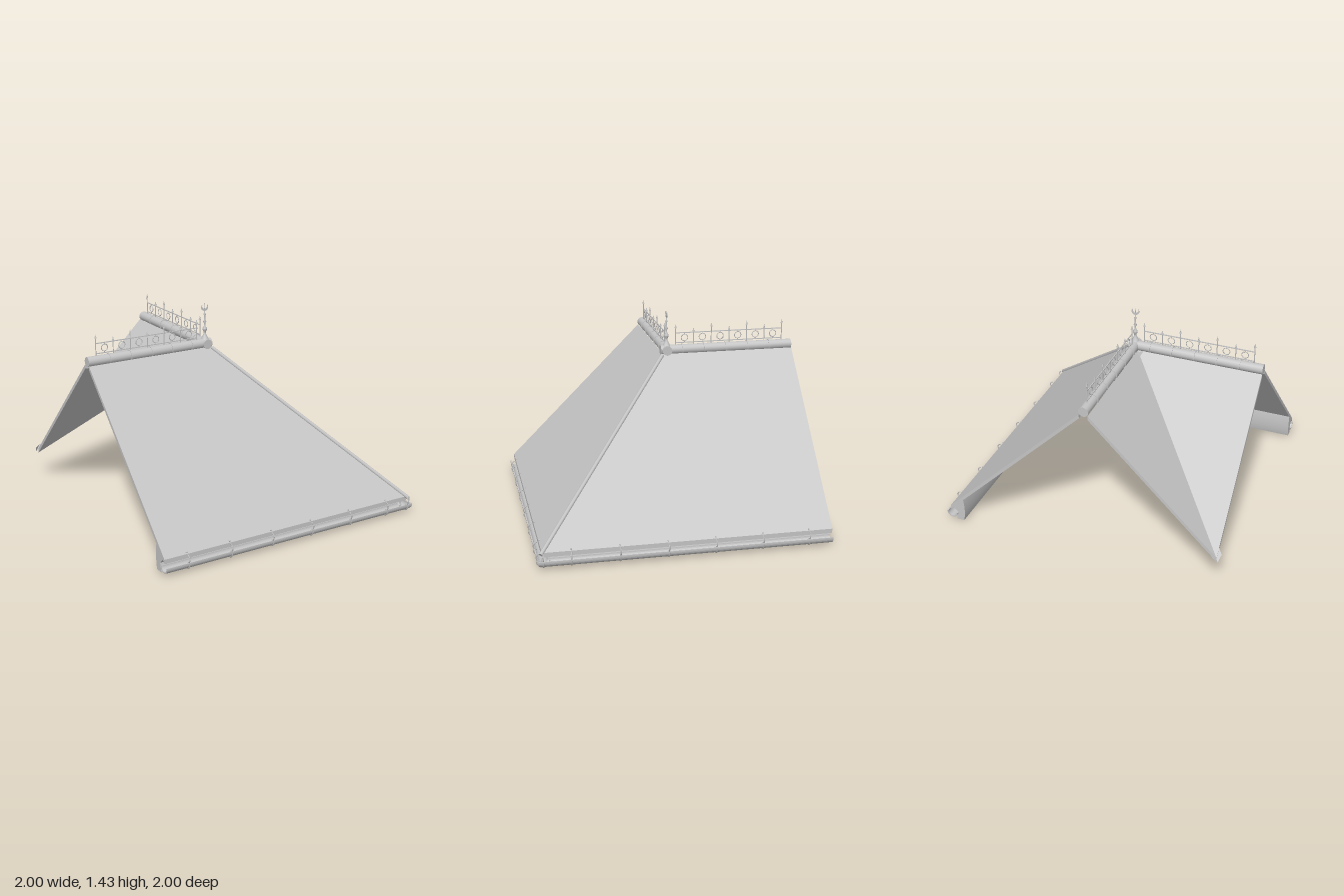
import * as THREE from 'three';

export function createModel() {
  const model = new THREE.Group();
  model.name = 'cornerRoof';
  const grey = new THREE.MeshStandardMaterial({ color: 0xc4c4c4 });
  grey.name = 'grey';

  const BACK = -0.972, RIDGE = -0.065;

  const add = (name, geo) => {
    const mesh = new THREE.Mesh(geo, grey);
    mesh.name = name;
    model.add(mesh);
  };
  // Copy of a geometry mirrored across the hip plane (x and z change places)
  const swapped = (geo) => {
    const g = geo.index ? geo.toNonIndexed() : geo.clone();
    for (const key of ['position', 'normal']) {
      const a = g.attributes[key], b = a.clone();
      for (let i = 0; i < a.count; i++) {
        const j = i % 3 === 0 ? i : i % 3 === 1 ? i + 1 : i - 1;
        a.setXYZ(i, b.getZ(j), b.getY(j), b.getX(j));
      }
    }
    return g;
  };
  // Every wing part is made for the right wing and mirrored to the front wing
  const wing = (name, geo) => {
    add(name + 'Right', geo);
    add(name + 'Front', swapped(geo));
  };
  const box = (w, h, d, x, y, z) => new THREE.BoxGeometry(w, h, d).translate(x, y, z);
  const rod = (a, b, r, sides = 6) => {
    const from = new THREE.Vector3(...a), dir = new THREE.Vector3(...b).sub(from);
    const q = new THREE.Quaternion().setFromUnitVectors(new THREE.Vector3(0, 1, 0), dir.clone().normalize());
    return new THREE.CylinderGeometry(r, r, dir.length(), sides)
      .applyQuaternion(q).translate(...from.addScaledVector(dir, 0.5).toArray());
  };
  // Solid between a polygon and its copy moved by an offset; corners run counter-clockwise from outside
  const slab = (top, offset) => {
    const low = top.map((p) => p.map((v, i) => v + offset[i]));
    const n = top.length, pos = [];
    const tri = (a, b, c) => pos.push(...a, ...b, ...c);
    for (let i = 1; i < n - 1; i++) {
      tri(top[0], top[i], top[i + 1]);
      tri(low[0], low[i + 1], low[i]);
    }
    for (let i = 0; i < n; i++) {
      const j = (i + 1) % n;
      tri(top[i], low[i], low[j]);
      tri(top[i], low[j], top[j]);
    }
    const g = new THREE.BufferGeometry();
    g.setAttribute('position', new THREE.Float32BufferAttribute(pos, 3));
    g.computeVertexNormals();
    return g;
  };
  // Profile run along the eave, mitred at the front corner
  const eaveRun = (shape) => {
    const g = new THREE.ExtrudeGeometry(shape, { depth: 1, bevelEnabled: false, curveSegments: 12 });
    const p = g.attributes.position;
    for (let i = 0; i < p.count; i++) p.setZ(i, p.getZ(i) > 0.5 ? p.getX(i) : BACK);
    g.computeVertexNormals();
    return g;
  };

  // Outer slopes and inner valley slopes
  const thick = [0, -0.03, 0];
  wing('outerSlope', slab([
    [-0.035, 1.11, BACK], [-0.035, 1.11, -0.035], [0.957, 0.118, 0.957], [0.957, 0.118, BACK],
  ], thick));
  wing('valleySlope', slab([
    [-0.095, 1.11, -0.095], [-0.095, 1.11, BACK], [BACK, 0.233, BACK],
  ], thick));

  // Hip trim and valley trough
  add('hipTrim', rod([-0.03, 1.105, -0.03], [0.965, 0.11, 0.965], 0.014, 8));
  add('valleyTrough', slab([
    [-1, 0.253, -0.95], [-0.985, 0.212, -0.985], [-0.95, 0.253, -1],
  ], [0.86, 0.86, 0.86]));

  // Cornice below the roof edge
  const cornice = new THREE.Shape();
  cornice.moveTo(0.86, 0.015);
  cornice.lineTo(0.915, 0.015);
  cornice.lineTo(0.9, 0.075);
  cornice.lineTo(0.935, 0.11);
  cornice.lineTo(0.855, 0.19);
  cornice.quadraticCurveTo(0.84, 0.09, 0.86, 0.015);
  wing('cornice', eaveRun(cornice));

  // Half-round gutter with a thin wall
  const gutter = new THREE.Shape();
  gutter.moveTo(0.908, 0.062);
  gutter.absarc(0.948, 0.062, 0.04, Math.PI, Math.PI * 2, false);
  gutter.lineTo(0.988, 0.068);
  gutter.lineTo(0.98, 0.068);
  gutter.absarc(0.948, 0.062, 0.032, Math.PI * 2, Math.PI, true);
  wing('gutter', eaveRun(gutter));

  // Gutter brackets, hooks and studs
  for (let i = 0; i < 7; i++) {
    const z = i < 6 ? -0.81 + i * 0.316 : 0.95;
    wing('gutterStrap', new THREE.TorusGeometry(0.042, 0.005, 5, 12, Math.PI)
      .rotateZ(Math.PI).translate(0.948, 0.062, z));
    wing('gutterHook', new THREE.TorusGeometry(0.025, 0.004, 5, 12, Math.PI)
      .rotateZ(-Math.PI / 2).translate(0.967, 0.09, z));
    wing('roofNail', new THREE.SphereGeometry(0.006, 6, 4).translate(0.95, 0.127, z));
  }
  for (let i = 0; i < 12; i++) {
    wing('corniceStud', box(0.025, 0.014, 0.025, 0.885, 0.012, -0.89 + i * 0.158));
  }

  // Ridge cap tube with collars
  wing('ridgeCap', rod([RIDGE, 1.133, BACK], [RIDGE, 1.133, -0.022], 0.034, 16));
  for (let i = 0; i < 5; i++) {
    const z = -0.81 + i * 0.158;
    wing('ridgeCollar', rod([RIDGE, 1.133, z - 0.005], [RIDGE, 1.133, z + 0.005], 0.038, 16));
  }

  // Cresting: rails, spiked posts and rings
  const first = -0.905, step = 0.129;
  for (const y of [1.18, 1.25]) {
    wing('crestRail', box(0.006, 0.006, 0.775, RIDGE, y, first + step * 3));
  }
  for (let i = 0; i < 7; i++) {
    const z = first + step * i, top = i % 2 ? 1.26 : 1.29;
    wing('crestPost', rod([RIDGE, 1.155, z], [RIDGE, top, z], 0.0035));
    wing('crestSpike', new THREE.ConeGeometry(0.008, 0.03, 6).translate(RIDGE, top + 0.01, z));
    if (i < 6) {
      const mid = z + step / 2;
      wing('crestRing', new THREE.TorusGeometry(0.024, 0.003, 5, 12)
        .rotateY(Math.PI / 2).translate(RIDGE, 1.215, mid));
      for (const s of [-1, 1]) {
        wing('crestPin', box(0.004, 0.011, 0.004, RIDGE, 1.215 + s * 0.03, mid));
      }
    }
  }

  // Finial at the ridge corner
  const profile = [
    [0, 1.09], [0.025, 1.098], [0.042, 1.122], [0.042, 1.142], [0.028, 1.162], [0.014, 1.19],
    [0.008, 1.205], [0.008, 1.215], [0.016, 1.23], [0.016, 1.24], [0.006, 1.255], [0.005, 1.275],
    [0.012, 1.286], [0.005, 1.298], [0.005, 1.33], [0.009, 1.338], [0.004, 1.347], [0.003, 1.37], [0, 1.372],
  ].map((p) => new THREE.Vector2(...p));
  add('finial', new THREE.LatheGeometry(profile, 12).translate(RIDGE, 0, RIDGE));

  // Crescent on top of the finial
  const rad = Math.PI / 180;
  const moon = new THREE.Shape();
  moon.absarc(0, 0, 0.027, 140.3 * rad, 399.7 * rad, false);
  moon.absarc(0, 0.01, 0.022, 19.2 * rad, 160.8 * rad, true);
  add('crescent', new THREE.ExtrudeGeometry(moon, { depth: 0.006, bevelEnabled: false, curveSegments: 14 })
    .translate(RIDGE, 1.39, RIDGE - 0.003));
  add('finialTip', new THREE.ConeGeometry(0.004, 0.07, 6).translate(RIDGE, 1.398, RIDGE));

  return model;
}
